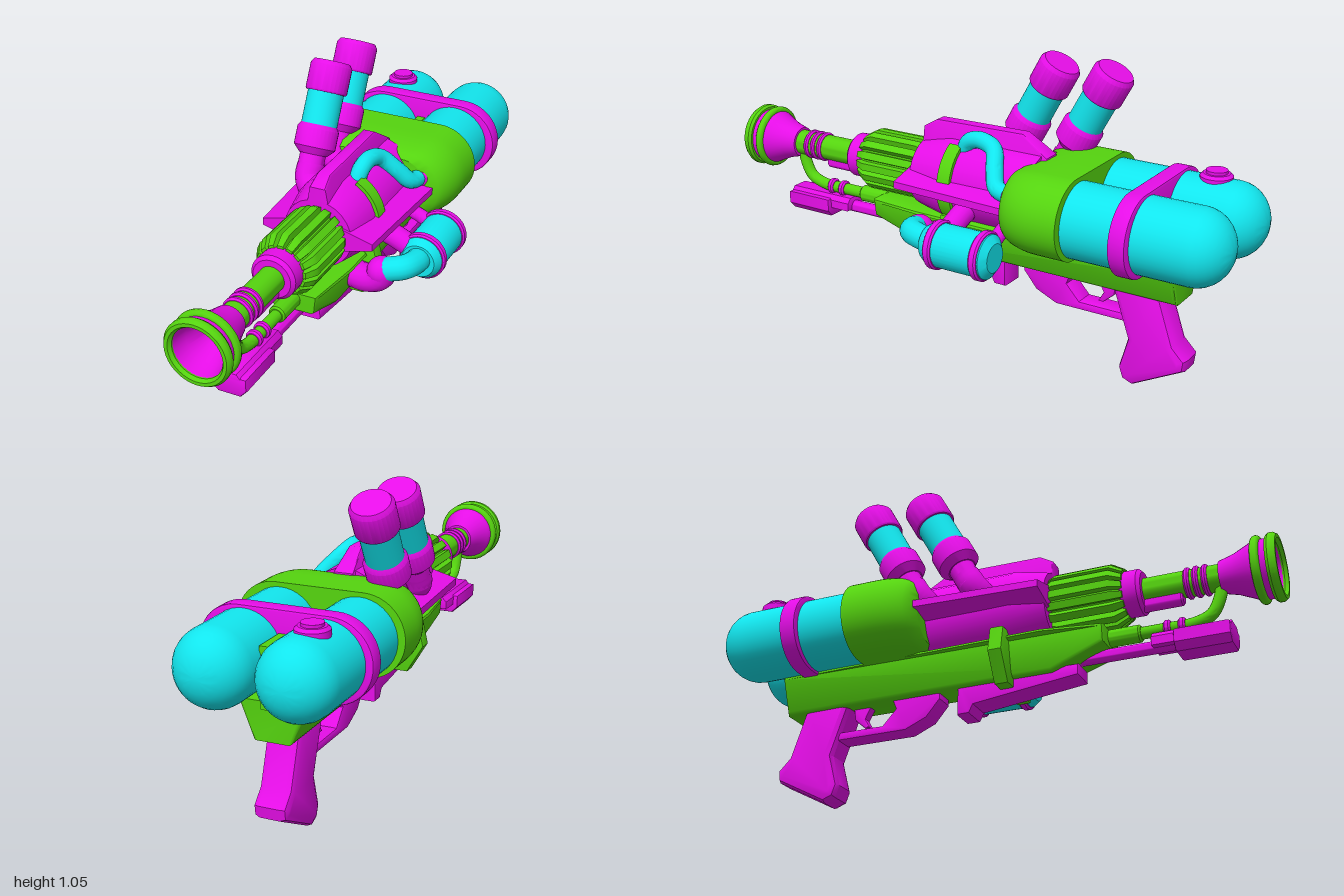
import * as THREE from 'three';
import { toCreasedNormals } from 'three/addons/utils/BufferGeometryUtils.js';

const pink = new THREE.MeshStandardMaterial({ color: 0xe60ee8 });
const green = new THREE.MeshStandardMaterial({ color: 0x55d40f });
const blue = new THREE.MeshStandardMaterial({ color: 0x12e6ee });
const CX = -0.04, AXIS = 0.6; // centre line of the body and barrel

export function createModel() {
  const model = new THREE.Group();

  function add(name, geo, mat, x = 0, y = 0, z = 0, parent = model) {
    const mesh = new THREE.Mesh(toCreasedNormals(geo, 0.6), mat);
    mesh.name = name;
    mesh.position.set(x, y, z);
    parent.add(mesh);
    return mesh;
  }
  const lathe = (pts, n = 32) => new THREE.LatheGeometry(pts.map(p => new THREE.Vector2(p[0], p[1])), n);
  // lathe along z; points are [radius, z]
  const latheZ = (pts, n) => lathe(pts, n).rotateX(Math.PI / 2);
  const rodZ = (r, z0, z1, c = 0.006) => latheZ([[0, z0], [r - c, z0], [r, z0 + c], [r, z1 - c], [r - c, z1], [0, z1]]);
  const tube = (pts, r) => new THREE.TubeGeometry(
    new THREE.CatmullRomCurve3(pts.map(p => new THREE.Vector3(...p))), 32, r, 16);
  // extrusion of an outline in x, y from z0 to z1
  const extrude = (shape, z0, z1, bevel = 0, steps = 1) => new THREE.ExtrudeGeometry(shape, {
    depth: z1 - z0 - 2 * bevel, steps, curveSegments: 12, bevelEnabled: bevel > 0,
    bevelThickness: bevel, bevelSize: bevel, bevelOffset: -bevel, bevelSegments: 2,
  }).translate(0, 0, z0 + bevel);
  const poly = pts => new THREE.Shape(pts.map(p => new THREE.Vector2(p[0], p[1])));
  // extrusion of a side outline [z, y] across the width
  const side = (pts, w, bevel) => extrude(poly(pts), -w / 2, w / 2, bevel).rotateY(-Math.PI / 2);
  function warp(geo, rule) {
    const p = geo.attributes.position, v = new THREE.Vector3();
    for (let i = 0; i < p.count; i++) {
      rule(v.fromBufferAttribute(p, i));
      p.setXYZ(i, v.x, v.y, v.z);
    }
    return geo;
  }
  function pill(w, h) {
    const s = new THREE.Shape(), r = h / 2 - 0.005, x = w / 2 - r;
    s.absarc(x, 0, h / 2, -Math.PI / 2, Math.PI / 2);
    s.absarc(-x, 0, h / 2, Math.PI / 2, Math.PI * 1.5);
    return s;
  }

  // Barrel and flared muzzle
  add('barrel', rodZ(0.046, 0.4, 0.86), green, CX, AXIS);
  for (const z of [0.69, 0.72, 0.75]) add('barrelRing', rodZ(0.054, z - 0.01, z + 0.01), pink, CX, AXIS);
  add('barrelCollar', rodZ(0.08, 0.46, 0.54, 0.012), pink, CX, AXIS);
  add('muzzle', latheZ([[0.045, 0.8], [0.055, 0.8], [0.068, 0.85], [0.09, 0.9], [0.1, 0.92],
    [0.1, 0.985], [0.088, 0.985], [0.075, 0.93], [0.035, 0.85], [0.03, 0.85], [0, 0.85]]), pink, CX, AXIS);
  add('muzzleRearRing', new THREE.TorusGeometry(0.1, 0.015, 12, 40), green, CX, AXIS, 0.93);
  add('muzzleFrontRing', latheZ([[0.088, 0.965], [0.108, 0.965], [0.115, 0.975], [0.115, 0.988],
    [0.107, 1], [0.095, 1], [0.087, 0.988], [0.088, 0.965]], 40), green, CX, AXIS);

  // Fluted fore grip
  const flutes = [];
  for (let i = 0; i < 16; i++) {
    for (const [d, r] of [[-0.3, 0.112], [0.3, 0.112], [0.42, 0.09], [0.58, 0.09]]) {
      const a = (i + d) * Math.PI / 8;
      flutes.push([Math.cos(a) * r, Math.sin(a) * r]);
    }
  }
  add('flutedGrip', warp(extrude(poly(flutes), 0.2, 0.48, 0, 14), v => {
    const s = v.z > 0.44 ? 1 - (v.z - 0.44) * 5 : v.z < 0.24 ? 1 - (0.24 - v.z) * 4 : 1;
    v.x *= s;
    v.y *= s;
  }), green, CX, AXIS);

  // Main body with its fins
  add('body', latheZ([[0, -0.26], [0.15, -0.26], [0.15, 0.1], [0.125, 0.22], [0.1, 0.22], [0, 0.21]], 24), pink, CX, AXIS);
  add('topFin', warp(side([[0.22, 0.6], [0.22, 0.77], [0.17, 0.8], [-0.18, 0.805], [-0.28, 0.74], [-0.28, 0.6]], 0.12, 0.006),
    v => { v.x *= 1 - 0.6 * (v.y - 0.6) / 0.2; }), pink, CX);
  for (const s of [1, -1]) {
    add('sideFin', warp(new THREE.BoxGeometry(0.16, 0.1, 0.46), v => {
      if (v.x * s > 0) {
        v.y *= 0.25;
        v.x += s * (v.z > 0 ? -0.015 : 0.01);
      }
    }), pink, CX + s * 0.14, AXIS);
  }

  // Strap around the body and lower rail
  add('bodyStrap', new THREE.CylinderGeometry(0.162, 0.162, 0.05, 24, 1, false, 0, 2.65).rotateX(Math.PI / 2),
    green, CX, AXIS, 0.055);
  add('railStrap', extrude(poly([[-0.1, 0.31], [0.1, 0.31], [0.16, 0.41], [0.14, 0.5], [-0.14, 0.5], [-0.16, 0.41]]),
    0.03, 0.08, 0.004), green, CX);

  // Lower rail, narrower at the bottom and the nose
  add('lowerRail', warp(side([[-0.79, 0.34], [-0.79, 0.47], [0.2, 0.48], [0.41, 0.475], [0.41, 0.41], [0.22, 0.34]], 0.23, 0.012), v => {
    v.x *= 0.5 + 0.5 * Math.min(1, (v.y - 0.33) / 0.1);
    if (v.z > 0.3) v.x *= 0.75;
  }), green, CX);

  // Feed pipe to the muzzle
  add('feedPipeSocket', rodZ(0.03, 0.4, 0.52), green, CX, 0.45);
  add('feedPipe', tube([[CX, 0.45, 0.45], [CX, 0.45, 0.6], [CX, 0.452, 0.7], [CX, 0.475, 0.76], [CX, 0.53, 0.79], [CX, 0.58, 0.8]], 0.021), green);
  for (const z of [0.61, 0.66]) add('feedPipeRing', rodZ(0.029, z - 0.012, z + 0.012), pink, CX, 0.45);
  add('underBarrelRod', rodZ(0.025, 0.2, 0.67), pink, CX, 0.55);

  // Lower front rod and its block
  add('lowerRod', rodZ(0.022, 0.25, 0.66), pink, CX, 0.39);
  add('rodSlab', extrude(poly([[-0.045, 0.38], [0.045, 0.38], [0.045, 0.41], [0.03, 0.428], [-0.03, 0.428], [-0.045, 0.41]]),
    0.56, 0.83, 0.004), pink, CX);
  add('rodBlock', extrude(poly([[-0.04, 0.345], [0.04, 0.345], [0.063, 0.37], [0.063, 0.415], [-0.063, 0.415], [-0.063, 0.37]]),
    0.64, 0.83, 0.008), pink, CX);

  // Underside block, guard, trigger and handle
  add('undersideBlock', side([[0.31, 0.36], [0.31, 0.32], [-0.07, 0.275], [-0.085, 0.245], [-0.13, 0.245], [-0.13, 0.36]], 0.1, 0.008), pink, CX);
  add('triggerGuard', side([[-0.2, 0.36], [-0.2, 0.32], [-0.25, 0.26], [-0.33, 0.225], [-0.62, 0.225], [-0.62, 0.255],
    [-0.42, 0.255], [-0.37, 0.31], [-0.39, 0.36]], 0.08, 0.008), pink, CX);
  add('trigger', side([[-0.47, 0.36], [-0.5, 0.3], [-0.48, 0.265], [-0.5, 0.265], [-0.54, 0.3], [-0.55, 0.36]], 0.035, 0.005), pink, CX);
  add('handle', side([[-0.545, 0.36], [-0.61, 0.17], [-0.58, 0.06], [-0.595, 0.018], [-0.635, 0.002], [-0.82, 0.1],
    [-0.825, 0.14], [-0.78, 0.185], [-0.72, 0.36]], 0.118, 0.025), pink, CX);

  // Rear housing with a rounded front
  add('tankHousing', warp(extrude(pill(0.58, 0.28), -0.46, -0.21, 0, 16), v => {
    const t = Math.max(0, (v.z + 0.36) / 0.15), k = 1 - Math.sqrt(Math.max(0, 1 - t * t));
    v.x *= 1 - 0.28 * k;
    v.y *= 1 - 0.26 * k;
  }), green, CX, AXIS);

  // Twin tanks, strap, spine and filler cap
  const tank = [[0, -1]];
  for (let i = 1; i <= 8; i++) {
    const a = i * Math.PI / 16;
    tank.push([0.13 * Math.sin(a), -0.88 - 0.12 * Math.cos(a)]);
  }
  tank.push([0.13, -0.4], [0, -0.4]);
  for (const x of [-0.18, 0.095]) add('tank', latheZ(tank, 40), blue, x, 0.595);
  add('tankStrap', extrude(pill(0.58, 0.28), -0.705, -0.645, 0.006), pink, CX, 0.595);
  add('tankSpine', new THREE.BoxGeometry(0.03, 0.2, 0.37), green, CX, 0.56, -0.645);
  add('fillerCap', lathe([[0.055, 0], [0.055, 0.025], [0.045, 0.035], [0.036, 0.035], [0.036, 0.045], [0, 0.045]]), pink, -0.19, 0.705, -0.81);

  // Two slanted canisters on elbow pipes
  for (const dz of [0, -0.205]) {
    const can = new THREE.Group();
    can.name = 'canister';
    can.position.set(-0.203, 0.66, -0.025 + dz);
    can.rotation.x = -0.5;
    model.add(can);
    add('canisterNeck', lathe([[0.046, 0], [0.046, 0.11]]), pink, 0, 0, 0, can);
    add('canisterCup', lathe([[0, 0.08], [0.05, 0.08], [0.074, 0.105], [0.074, 0.17], [0.064, 0.185], [0, 0.185]]), pink, 0, 0, 0, can);
    add('canisterGlass', lathe([[0.064, 0.17], [0.064, 0.32]]), blue, 0, 0, 0, can);
    add('canisterCap', lathe([[0, 0.3], [0.07, 0.3], [0.074, 0.306], [0.074, 0.395], [0.064, 0.41], [0, 0.41]]), pink, 0, 0, 0, can);
    add('canisterElbow', tube([[-0.203, 0.7, -0.046 + dz], [-0.2, 0.66, -0.022 + dz], [-0.17, 0.63, dz], [-0.08, 0.61, 0.01 + dz]], 0.048), pink);
  }

  // Upper hose with end fittings
  add('upperHose', tube([[0.01, 0.7, 0.04], [0.02, 0.758, 0.01], [0.025, 0.772, -0.04], [0.04, 0.755, -0.1],
    [0.09, 0.7, -0.135], [0.125, 0.655, -0.165], [0.138, 0.64, -0.23]], 0.03), blue);
  add('hoseFitting', new THREE.SphereGeometry(0.04, 20, 14), pink, 0.138, 0.64, -0.235);

  // Side bottle with rings, supports and curved pipe
  add('sideBottle', latheZ([[0, -0.235], [0.05, -0.235], [0.077, -0.215], [0.077, 0.005], [0.06, 0.03], [0, 0.03]]), blue, 0.245, 0.46);
  for (const z of [-0.195, -0.015]) {
    add('bottleRing', rodZ(0.086, z - 0.015, z + 0.015), pink, 0.245, 0.46);
    add('bottleSupport', tube([[0.05, 0.54, z], [0.13, 0.515, z], [0.22, 0.475, z]], z < -0.1 ? 0.025 : 0.04), pink);
  }
  add('bottlePipe', tube([[0.245, 0.465, 0], [0.245, 0.472, 0.06], [0.225, 0.475, 0.11], [0.175, 0.465, 0.13], [0.13, 0.44, 0.13]], 0.043), blue);
  add('pipeElbow', tube([[0.165, 0.462, 0.13], [0.145, 0.43, 0.13], [0.1, 0.41, 0.125], [0, 0.405, 0.1]], 0.05), pink);
  add('pipeCollar', new THREE.SphereGeometry(0.052, 20, 14), pink, 0.155, 0.455, 0.13);

  return model;
}
